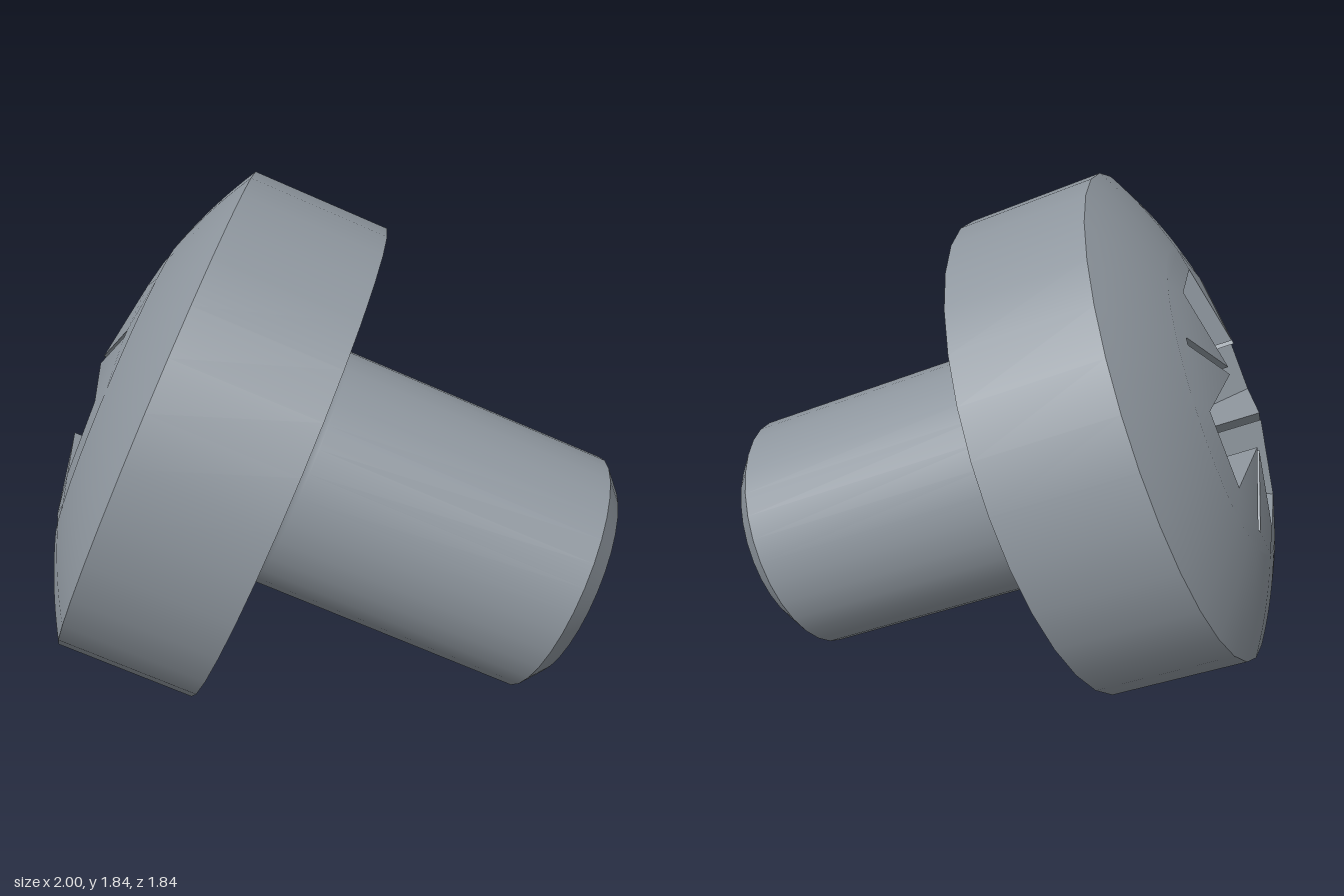
import * as THREE from 'three';

const HEAD_R = 0.893, RIM_Y = 0.49, APEX_Y = 0.735;   // head sits on local y = 0
const SHAFT_R = 0.445, TIP_R = 0.37, FILLET = 0.047;
const RISE = APEX_Y - RIM_Y;
const DOME_R = (HEAD_R ** 2 + RISE ** 2) / (2 * RISE);
const PATCH_R = 0.56;                                  // inner dome area holding the recess
const SEGMENTS = 32;

const domeY = (r) => APEX_Y - DOME_R + Math.sqrt(DOME_R ** 2 - r ** 2);

// Cross-shaped recess outline with a thin diagonal slit in each corner
function recessOutline(wingEnd, slitEnd) {
  const w = 0.14, g = 0.01, s = slitEnd * Math.SQRT1_2;
  const quarter = [
    [wingEnd, -w], [wingEnd, w], [w + 2 * g, w],
    [s + g, s - g], [s - g, s + g], [w, w + 2 * g],
  ];
  const points = [];
  for (let q = 0; q < 4; q++) {
    for (const [x, y] of quarter) {
      points.push(new THREE.Vector2(x, y).rotateAround(new THREE.Vector2(), q * Math.PI / 2));
    }
  }
  return points;
}

// Flat disc with the recess cut out, lifted onto the dome
function domePatch(outline) {
  const rim = [];
  for (let i = 0; i < SEGMENTS; i++) {
    const a = i / SEGMENTS * Math.PI * 2;
    rim.push(new THREE.Vector2(PATCH_R * Math.cos(a), PATCH_R * Math.sin(a)));
  }
  const shape = new THREE.Shape(rim);
  shape.holes.push(new THREE.Path(outline));
  const geometry = new THREE.ShapeGeometry(shape);
  const pos = geometry.attributes.position, normal = geometry.attributes.normal;
  for (let i = 0; i < pos.count; i++) {
    const x = pos.getX(i), z = -pos.getY(i), y = domeY(Math.hypot(x, z));
    pos.setXYZ(i, x, y, z);
    normal.setXYZ(i, x / DOME_R, (y - APEX_Y + DOME_R) / DOME_R, z / DOME_R);
  }
  return geometry;
}

// Tapered recess walls and a conical floor
function recessWalls(upper, lower) {
  const top = upper.map((p) => [p.x, domeY(p.length()), -p.y]);
  const bottom = lower.map((p) => [p.x, APEX_Y - 0.57 + 0.56 * p.length(), -p.y]);
  const tip = [0, APEX_Y - 0.57, 0];
  const v = [];
  for (let i = 0; i < top.length; i++) {
    const j = (i + 1) % top.length;
    v.push(...top[i], ...top[j], ...bottom[j]);
    v.push(...top[i], ...bottom[j], ...bottom[i]);
    v.push(...bottom[i], ...bottom[j], ...tip);
  }
  const geometry = new THREE.BufferGeometry();
  geometry.setAttribute('position', new THREE.Float32BufferAttribute(v, 3));
  geometry.computeVertexNormals();
  return geometry;
}

export function createModel() {
  const model = new THREE.Group();
  model.name = 'screw';
  const screw = new THREE.Group();
  screw.name = 'tiltedScrew';
  model.add(screw);

  const steel = new THREE.MeshStandardMaterial({ color: 0x8f979f });
  steel.name = 'steel';

  const add = (name, geometry) => {
    const mesh = new THREE.Mesh(geometry, steel);
    mesh.name = name;
    screw.add(mesh);
  };
  // Turned surface; separate pieces keep the edges between them sharp
  const turned = (name, profile) =>
    add(name, new THREE.LatheGeometry(profile.map(([r, y]) => new THREE.Vector2(r, y)), SEGMENTS));

  // Shaft
  turned('shaftTip', [[0, -1.12], [TIP_R, -1.12]]);
  turned('shaftChamfer', [[TIP_R, -1.12], [SHAFT_R, -1.05]]);
  const shaft = [[SHAFT_R, -1.05], [SHAFT_R, -FILLET - 0.01]];
  for (let i = 0; i <= 6; i++) {
    const a = i / 6 * Math.PI / 2;
    shaft.push([SHAFT_R + FILLET * (1 - Math.cos(a)), -FILLET * (1 - Math.sin(a))]);
  }
  turned('shaftWithFillet', shaft);

  // Head
  turned('headUnderside', [[SHAFT_R + FILLET, 0], [HEAD_R, 0]]);
  turned('headRim', [[HEAD_R, 0], [HEAD_R, RIM_Y]]);
  const dome = [];
  for (let i = 0; i <= 8; i++) {
    const r = HEAD_R + (PATCH_R - HEAD_R) * i / 8;
    dome.push([r, domeY(r)]);
  }
  turned('headDome', dome);

  // Drive recess
  const upper = recessOutline(0.455, 0.5);
  const lower = recessOutline(0.325, 0.365);
  add('headDomeCentre', domePatch(upper));
  add('driveRecess', recessWalls(upper, lower));

  // Lean the screw so that it rests on its head rim and shaft tip
  const up = new THREE.Vector3(-0.902, 0.388, -0.19).normalize();
  const side = new THREE.Vector3(0, 1, 0).addScaledVector(up, -up.y).normalize();
  const across = new THREE.Vector3().crossVectors(side, up);
  screw.quaternion.setFromRotationMatrix(new THREE.Matrix4().makeBasis(side, up, across));
  screw.position.set(-0.167, 0.825, 0.05);
  return model;
}
